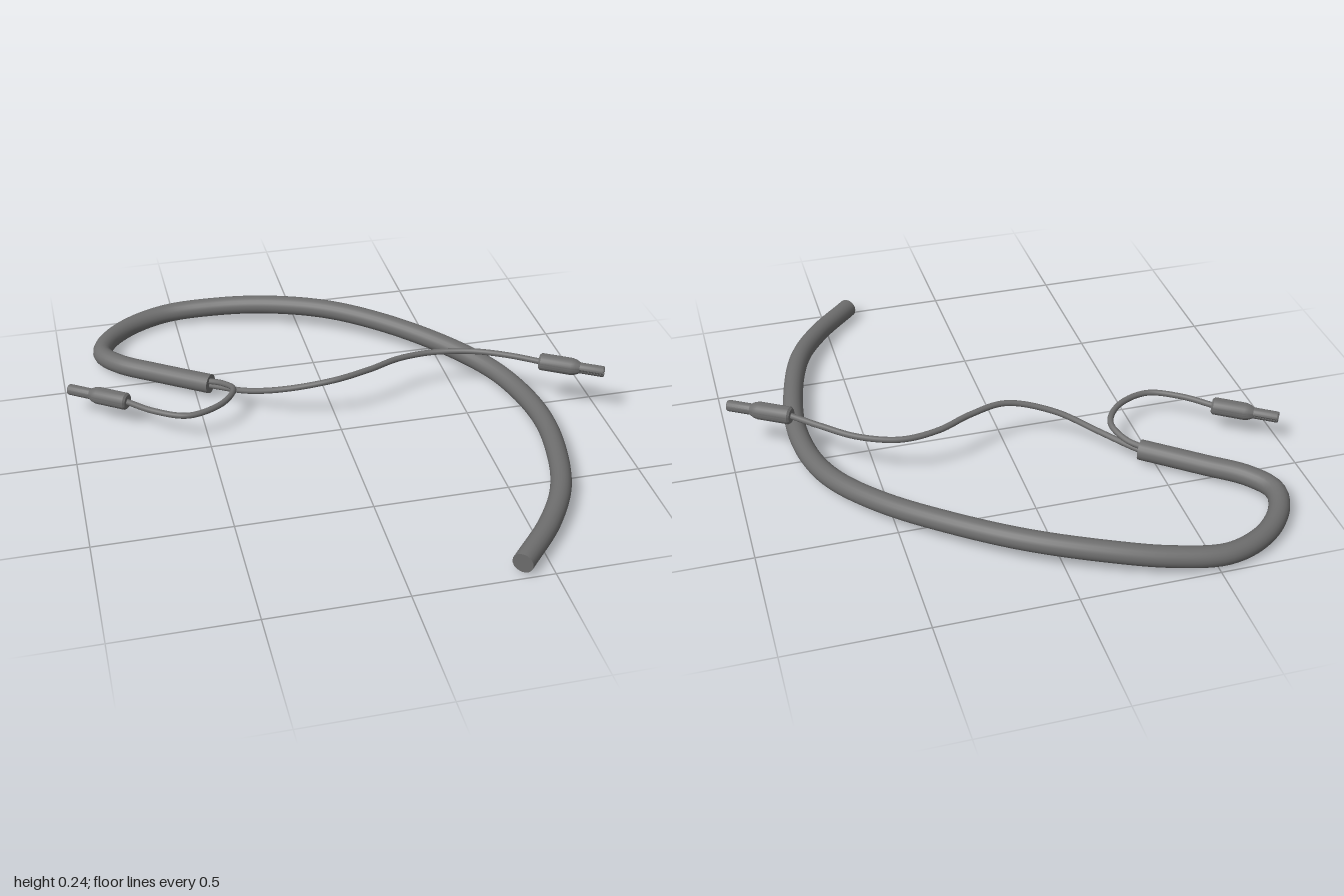
import * as THREE from 'three';
import { toCreasedNormals } from 'three/addons/utils/BufferGeometryUtils.js';

const rubber = new THREE.MeshStandardMaterial({ color: 0x6e6e6e, side: THREE.DoubleSide });
rubber.name = 'grey rubber';

const V = (a) => new THREE.Vector3(...a);

// Round cable along a smooth path, closed at both ends
function cable(name, points, radius, steps, sides) {
  const group = new THREE.Group();
  group.name = name;
  const curve = new THREE.CatmullRomCurve3(points.map(V), false, 'centripetal');
  const sheath = new THREE.Mesh(new THREE.TubeGeometry(curve, steps, radius, sides), rubber);
  sheath.name = name + 'Sheath';
  group.add(sheath);
  for (const t of [0, 1]) {
    const cap = new THREE.Mesh(new THREE.CircleGeometry(radius, sides), rubber);
    cap.name = name + 'Cap';
    cap.position.copy(curve.getPointAt(t));
    const out = curve.getTangentAt(t).multiplyScalar(t ? 1 : -1);
    cap.quaternion.setFromUnitVectors(new THREE.Vector3(0, 0, 1), out);
    group.add(cap);
  }
  return group;
}

// Turned part about +y
function turned(name, profile, start = 0, sweep = Math.PI * 2) {
  const pts = profile.map(([r, y]) => new THREE.Vector2(r, y));
  const mesh = new THREE.Mesh(toCreasedNormals(new THREE.LatheGeometry(pts, 24, start, sweep), 0.5), rubber);
  mesh.name = name;
  return mesh;
}

// Bullet connector: thick grip, tapered shoulder, slotted hollow tip
function connector(name, from, to) {
  const group = new THREE.Group();
  group.name = name;
  const a = V(from), axis = V(to).sub(a);
  const len = axis.length();
  axis.normalize();
  const up = new THREE.Vector3(0, 1, 0);
  const side = new THREE.Vector3().crossVectors(up, axis);
  group.setRotationFromMatrix(new THREE.Matrix4().makeBasis(up, axis, side));
  group.position.copy(a);
  group.add(turned('grip', [
    [0, 0], [0.027, 0], [0.033, 0.008], [0.033, 0.125], [0.029, 0.142], [0.021, 0.158], [0, 0.158],
  ]));
  const slit = 0.14;
  group.add(turned('tip', [
    [0.021, 0.155], [0.021, len - 0.004], [0.019, len], [0.013, len], [0.013, 0.158],
  ], Math.PI + slit, Math.PI * 2 - 2 * slit));
  return group;
}

export function createModel() {
  const model = new THREE.Group();
  model.name = 'splitCable';

  model.add(cable('mainCable', [
    [0.39, 0.045, 0.972], [0.55, 0.053, 0.79], [0.655, 0.06, 0.61], [0.725, 0.055, 0.35],
    [0.745, 0.047, 0.14], [0.72, 0.045, -0.06], [0.66, 0.053, -0.22], [0.525, 0.068, -0.41],
    [0.32, 0.086, -0.61], [0.11, 0.092, -0.765], [-0.13, 0.082, -0.88], [-0.345, 0.062, -0.945],
    [-0.54, 0.045, -0.962], [-0.70, 0.04, -0.895], [-0.805, 0.043, -0.78], [-0.83, 0.048, -0.68],
    [-0.77, 0.052, -0.585], [-0.64, 0.055, -0.485], [-0.445, 0.062, -0.342],
  ], 0.038, 140, 20));

  // Short branch with the right-hand connector
  model.add(cable('shortWire', [
    [-0.46, 0.072, -0.352], [-0.405, 0.085, -0.30], [-0.375, 0.105, -0.215], [-0.44, 0.11, -0.115],
    [-0.57, 0.11, -0.066], [-0.69, 0.11, -0.125], [-0.79, 0.11, -0.22],
  ], 0.0115, 70, 12));
  model.add(connector('shortWireConnector', [-0.78, 0.11, -0.213], [-0.988, 0.11, -0.353]));

  // Long branch with the left-hand connector
  model.add(cable('longWire', [
    [-0.46, 0.055, -0.352], [-0.42, 0.062, -0.315], [-0.32, 0.087, -0.22], [-0.185, 0.135, -0.125],
    [-0.01, 0.176, -0.08], [0.14, 0.179, -0.12], [0.27, 0.175, -0.178], [0.415, 0.173, -0.196],
    [0.565, 0.183, -0.15], [0.68, 0.196, -0.07], [0.785, 0.205, 0.02],
  ], 0.0115, 100, 12));
  model.add(connector('longWireConnector', [0.775, 0.205, 0.012], [0.988, 0.205, 0.142]));

  return model;
}
